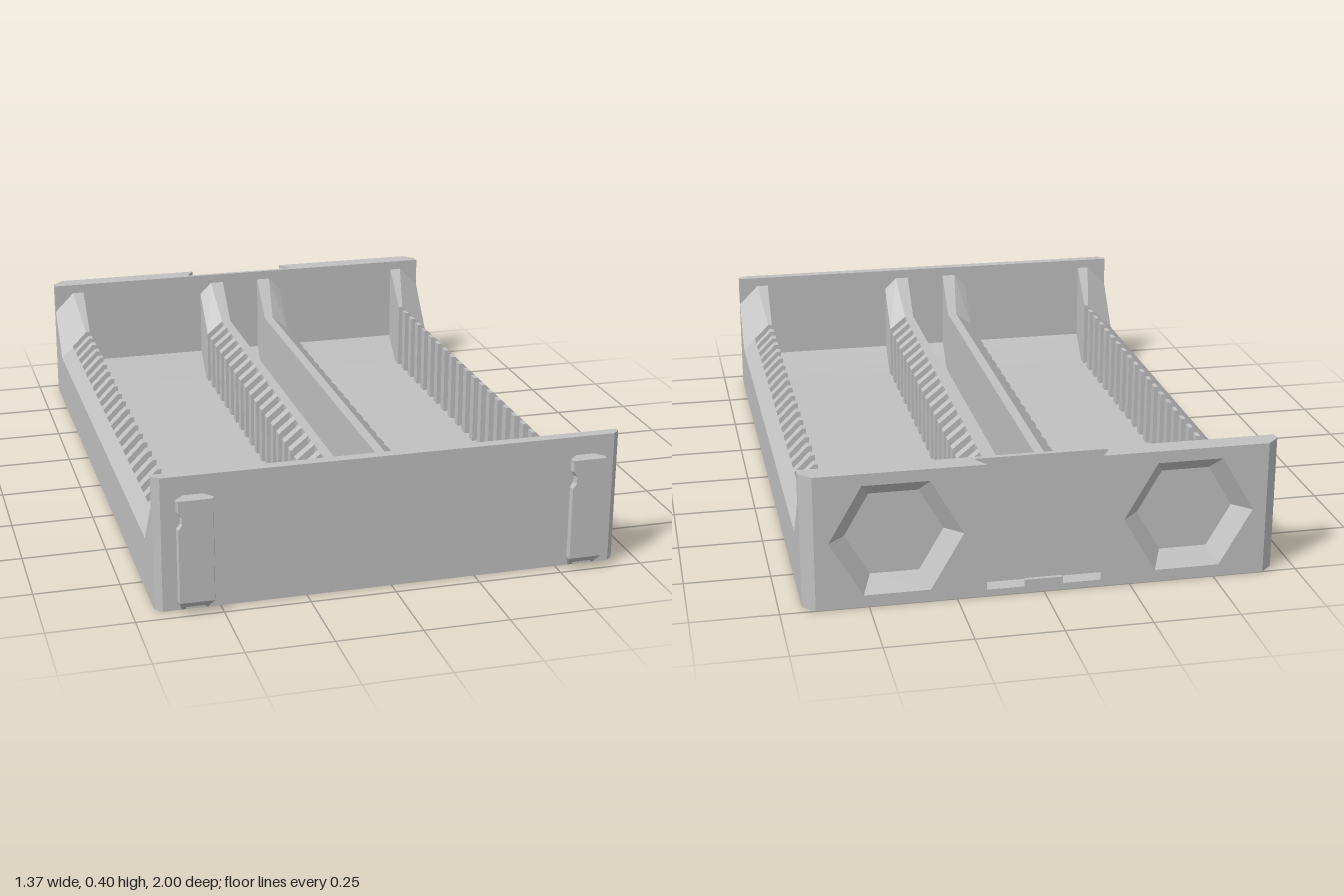
import * as THREE from 'three';
import { ConvexGeometry } from 'three/addons/geometries/ConvexGeometry.js';

const grey = new THREE.MeshStandardMaterial({ color: 0xc0c0c0 });
grey.name = 'grey plastic';
const greyOpen = new THREE.MeshStandardMaterial({ color: 0xc0c0c0, side: THREE.DoubleSide });
greyOpen.name = 'grey plastic open surface';

export function createModel() {
  const model = new THREE.Group();
  model.name = 'slideTray';

  const add = (name, geometry, material = grey) => {
    const mesh = new THREE.Mesh(geometry, material);
    mesh.name = name;
    model.add(mesh);
    return mesh;
  };
  // Convex solid around a set of [x, y, z] points
  const hull = (name, points) =>
    add(name, new ConvexGeometry(points.map((p) => new THREE.Vector3(...p))));
  // Solid between an x-y profile at z0 and another at z1, mirrored by side
  const loftZ = (name, a, z0, b, z1, side = 1) =>
    hull(name, [...a.map(([x, y]) => [x * side, y, z0]), ...b.map(([x, y]) => [x * side, y, z1])]);
  // Solid between an x-z plan at y0 and another at y1
  const loftY = (name, a, y0, b, y1) =>
    hull(name, [...a.map(([x, z]) => [x, y0, z]), ...b.map(([x, z]) => [x, y1, z])]);

  const W = 0.685, H = 0.4, BACK = -0.937, FRONT = 0.922, FLOOR = 0.03;

  // Floor
  loftY('floor', [[-W, BACK], [W, BACK], [W, FRONT], [-W, FRONT]], 0,
    [[-W, BACK], [W, BACK], [W, FRONT], [-W, FRONT]], FLOOR);

  // Front panel with chamfered upright corners
  const frontPlan = [[-W, FRONT], [W, FRONT], [W, 0.935], [W - 0.02, 0.955], [0.02 - W, 0.955], [-W, 0.935]];
  loftY('frontPanel', frontPlan, 0, frontPlan, H);

  // Back panel: inner slab, then an outer layer with hexagonal holes and a latch notch
  const slab = [[-0.65, -0.952], [0.65, -0.952], [0.65, BACK], [-0.65, BACK]];
  loftY('backPanelInner', slab, 0, slab, H);
  const face = new THREE.Shape([
    [-0.65, 0], [0.65, 0], [0.65, H], [0.19, H], [0.19, 0.02], [-0.19, 0.02], [-0.19, H], [-0.65, H],
  ].map((p) => new THREE.Vector2(...p)));
  const hexX = 0.42, hexY = 0.2, hexR = 0.19;
  for (const s of [-1, 1]) {
    const hole = [];
    for (let i = 0; i < 6; i++) {
      const a = (-i * Math.PI) / 3;
      hole.push(new THREE.Vector2(s * hexX + hexR * Math.cos(a), hexY + hexR * Math.sin(a)));
    }
    face.holes.push(new THREE.Path(hole));
  }
  add('backPanelOuter', new THREE.ExtrudeGeometry(face, { depth: 0.048, bevelEnabled: false }))
    .position.z = -1;
  hull('latchSill', [[-0.055, 0.02, -1], [0.055, 0.02, -1], [-0.055, 0.04, -1], [0.055, 0.04, -1],
    [-0.055, 0.02, -0.988], [0.055, 0.02, -0.988], [-0.055, 0.04, -0.988], [0.055, 0.04, -0.988]]);

  // Sloped fillets where the floor meets the end panels
  for (const [name, z0, z1] of [['backFillet', BACK, -0.86], ['frontFillet', FRONT, 0.845]]) {
    hull(name, [-0.65, 0.65].flatMap((x) => [[x, 0.02, z0], [x, 0.11, z0], [x, 0.02, z1], [x, FLOOR, z1]]));
  }

  const outerWall = [[0.645, 0], [W, 0], [W, 0.165], [0.645, 0.205]];
  const outerTooth = [[0.582, 0], [0.65, 0], [0.65, 0.2], [0.595, 0.255], [0.582, 0.255]];
  const outerEnd = [[0.582, 0], [W, 0], [W, 0.165], [0.595, 0.255], [0.582, 0.255]];
  const outerTop = [[0.582, 0], [W, 0], [W, 0.305], [0.62, 0.37], [0.582, 0.37]];
  const innerWall = [[0.065, 0], [0.095, 0], [0.095, 0.255], [0.065, 0.255]];
  const innerTooth = [[0.09, 0], [0.15, 0], [0.15, 0.21], [0.14, 0.21], [0.095, 0.255], [0.09, 0.255]];
  const innerEnd = [[0.065, 0], [0.15, 0], [0.15, 0.21], [0.14, 0.21], [0.095, 0.255], [0.065, 0.255]];
  const innerTop = [[0.065, 0], [0.15, 0], [0.15, 0.33], [0.11, 0.37], [0.065, 0.37]];

  for (const s of [-1, 1]) {
    // Lengthwise walls
    loftZ('sideWall', outerWall, BACK, outerWall, FRONT, s);
    loftZ('channelWall', innerWall, BACK, innerWall, FRONT, s);

    // Slide-holding teeth
    for (let i = 0; i < 21; i++) {
      const z = -0.762 + i * 0.0754;
      loftZ('sideTooth', outerTooth, z - 0.016, outerTooth, z + 0.016, s);
      loftZ('channelTooth', innerTooth, z - 0.016, innerTooth, z + 0.016, s);
    }

    // Gussets rising to both end panels
    for (const [z0, z1] of [[-0.822, BACK], [0.812, FRONT]]) {
      loftZ('sideGusset', outerEnd, z0, outerTop, z1, s);
      loftZ('channelGusset', innerEnd, z0, innerTop, z1, s);
    }

    // Chamfered back corner
    const corner = [[s * 0.65, -1], [s * W, -0.965], [s * W, BACK], [s * 0.65, BACK]];
    loftY('backCorner', corner, 0, corner, H);

    // Undercut lip of the latch notch
    const lip = [[s * 0.165, -1], [s * 0.19, -1], [s * 0.19, -0.96]];
    loftY('latchLip', lip, 0.02, lip, H);

    // Tapered hexagonal pocket in the back
    const pocket = new THREE.CylinderGeometry(0.14, hexR, 0.048, 6, 1, true).toNonIndexed();
    pocket.rotateY(Math.PI / 6).rotateX(Math.PI / 2);
    pocket.computeVertexNormals();
    add('hexPocket', pocket, greyOpen).position.set(s * hexX, hexY, -0.976);

    // Front dovetail clip: neck, tapered foot, head with a bite on one edge
    const cx = s * 0.575;
    const neck = [[cx - 0.028, 0.95], [cx + 0.028, 0.95], [cx + 0.028, 0.975], [cx - 0.028, 0.975]];
    loftY('clipNeck', neck, 0.01, neck, 0.34);
    const head = (l) => [[cx - 0.028, 0.958], [cx + 0.028, 0.958], [cx + 0.053, 0.985],
      [cx + 0.049, 1], [cx - l + 0.004, 1], [cx - l, 0.985]];
    const foot = [[cx - 0.028, 0.95], [cx + 0.028, 0.95], [cx + 0.038, 0.962], [cx - 0.038, 0.962]];
    loftY('clipFoot', foot, 0.004, head(0.053), 0.04);
    loftY('clipHead', head(0.053), 0.04, head(0.053), 0.26);
    loftY('clipBiteLower', head(0.053), 0.26, head(0.042), 0.275);
    loftY('clipBite', head(0.042), 0.275, head(0.042), 0.295);
    loftY('clipBiteUpper', head(0.042), 0.295, head(0.053), 0.31);
    loftY('clipTop', head(0.053), 0.31, head(0.053), 0.345);
  }
  return model;
}
